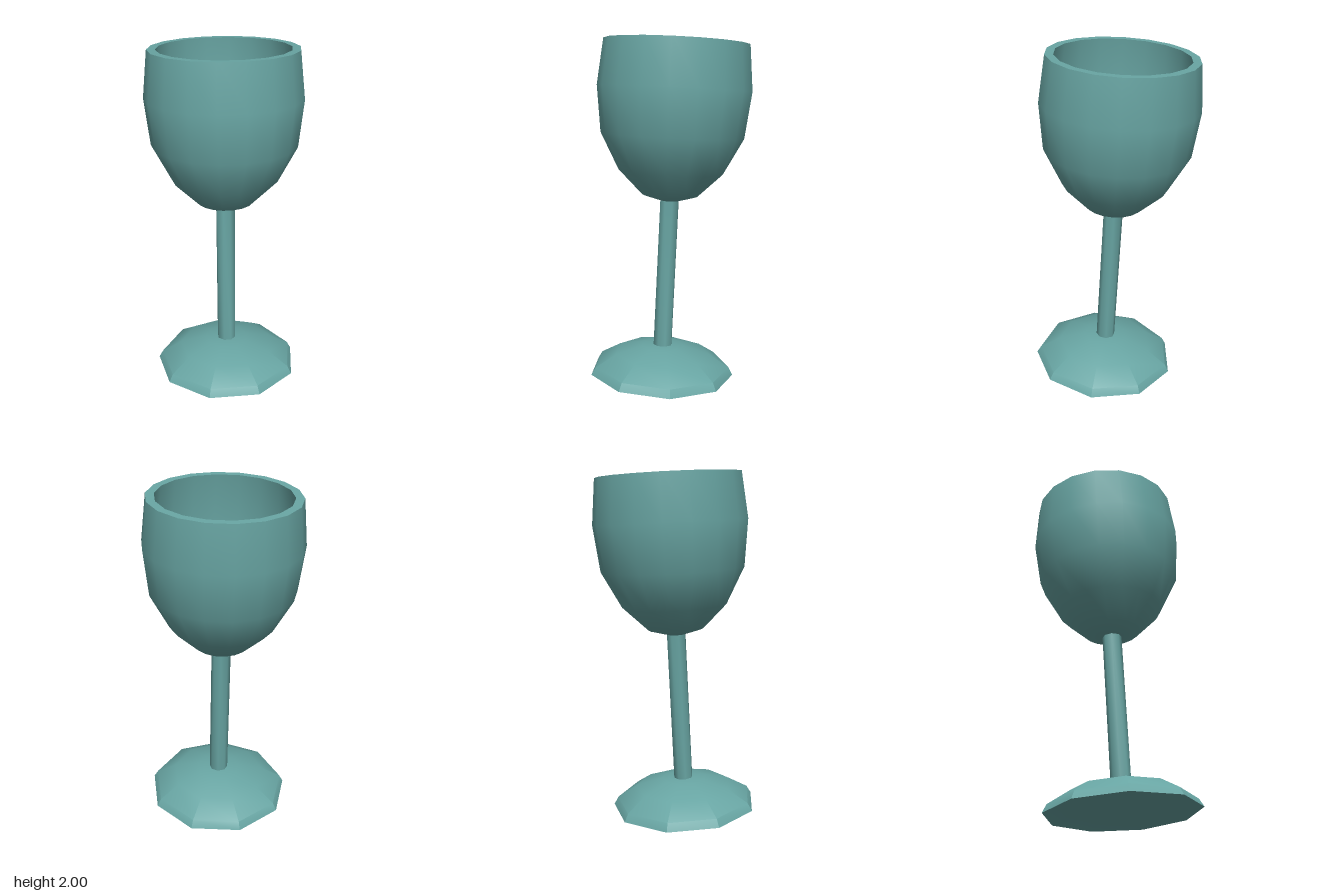
import * as THREE from 'three';
import { toCreasedNormals } from 'three/addons/utils/BufferGeometryUtils.js';

export function createModel() {
  const model = new THREE.Group();
  model.name = 'wineGlass';
  const material = new THREE.MeshStandardMaterial({ color: 0x68a5a3 });
  const glass = new THREE.Group();
  glass.name = 'tiltedGlass';

  // Turned part: [radius, height] profile, number of sides, start angle in degrees
  function turned(name, profile, sides, start, crease) {
    const points = profile.map(([r, h]) => new THREE.Vector2(r, h));
    const lathe = new THREE.LatheGeometry(points, sides, THREE.MathUtils.degToRad(start));
    const mesh = new THREE.Mesh(toCreasedNormals(lathe, crease), material);
    mesh.name = name;
    glass.add(mesh);
  }

  // Domed foot, slightly hollow underneath
  turned('foot', [
    [0, 0.075], [0.3, 0.04], [0.43, 0],
    [0.405, 0.045], [0.285, 0.118], [0.13, 0.162], [0, 0.172],
  ], 9, 76, 0.6);

  // Straight stem, sunk into the foot and the bowl
  turned('stem', [[0, 0.14], [0.056, 0.14], [0.056, 1.06], [0, 1.06]], 8, 0, 0.9);

  // Bowl: outer wall upward, over the rim, inner wall down
  turned('bowl', [
    [0, 1.04], [0.055, 1.043], [0.163, 1.075], [0.305, 1.215], [0.415, 1.425],
    [0.445, 1.69], [0.417, 1.95],
    [0.37, 1.95], [0.396, 1.69], [0.368, 1.44], [0.27, 1.25], [0.14, 1.125],
    [0.05, 1.095], [0, 1.09],
  ], 18, 85, 0.65);

  // The whole glass leans slightly back and to its left
  const axis = new THREE.Vector3(0.024, 1, -0.056).normalize();
  glass.quaternion.setFromUnitVectors(new THREE.Vector3(0, 1, 0), axis);
  glass.position.set(-0.03, 0.028, 0.055);
  model.add(glass);
  return model;
}
